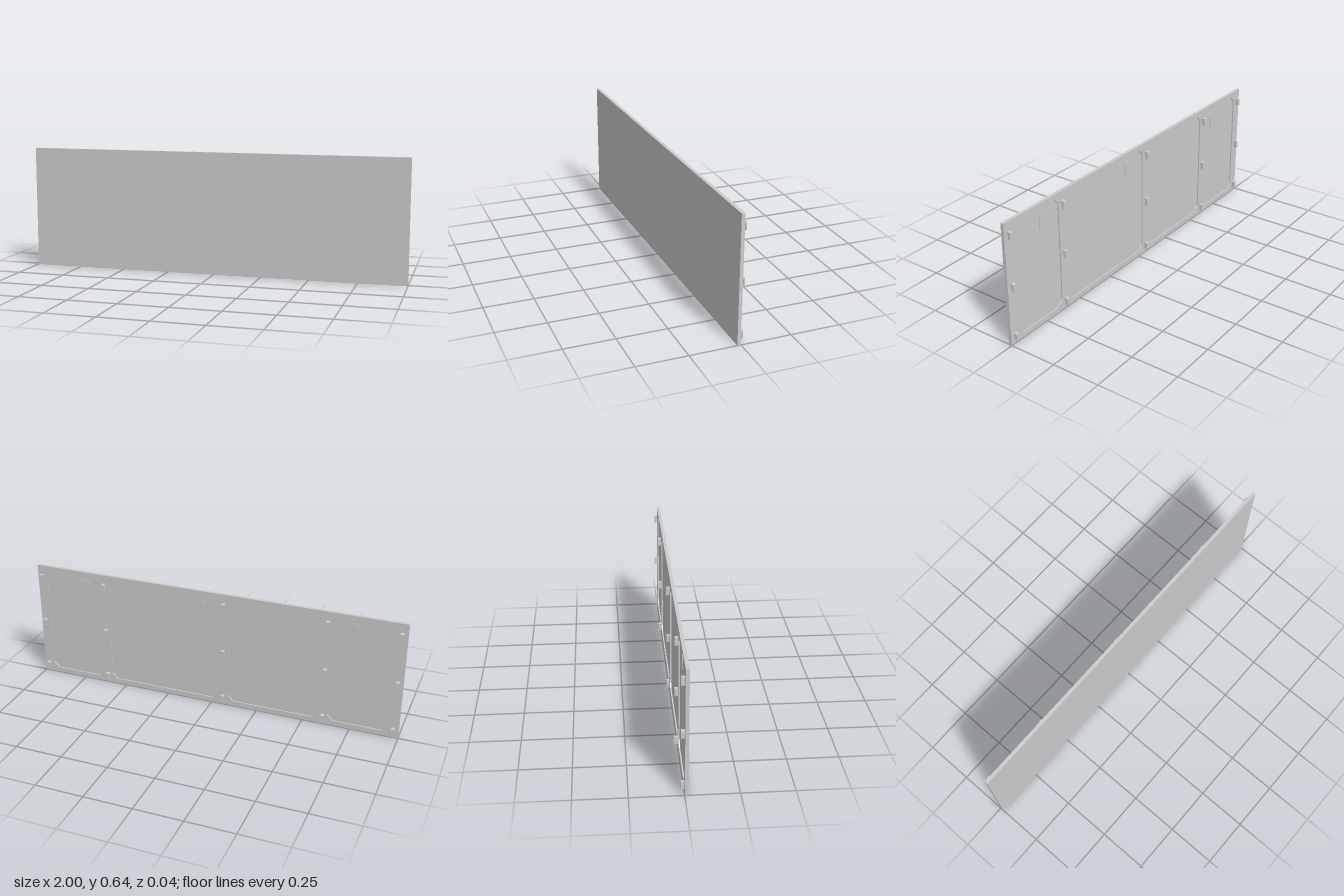
import * as THREE from 'three';

const material = new THREE.MeshStandardMaterial({ color: 0xcccccc });
const WIDTH = 2, HEIGHT = 0.638;
const FRONT = 0.0175, BACK = 0.0005, POCKET = 0.007, TIP = -0.0175;

// Rectangle outline with cut corners
function cutRect(target, x0, x1, y0, y1, c) {
  const pts = [
    [x0 + c, y0], [x1 - c, y0], [x1, y0 + c], [x1, y1 - c],
    [x1 - c, y1], [x0 + c, y1], [x0, y1 - c], [x0, y0 + c],
  ].map(([x, y]) => new THREE.Vector2(x, y));
  return target.setFromPoints(pts);
}

function addMesh(parent, name, geometry, x = 0, y = 0, z = 0) {
  const mesh = new THREE.Mesh(geometry, material);
  mesh.name = name;
  mesh.position.set(x, y, z);
  parent.add(mesh);
  return mesh;
}

function extrude(shape, depth) {
  return new THREE.ExtrudeGeometry(shape, { depth, bevelEnabled: false, curveSegments: 4 });
}

// Hook: arm out of the panel, rounded over into a lip hanging down, with a thin web behind it
function createHook() {
  const hook = new THREE.Group();
  const width = 0.018, top = 0.0205, reach = BACK - TIP, r = 0.004, t = 0.006;
  const profile = new THREE.Shape();
  profile.moveTo(0, top);
  profile.lineTo(0, top - 0.01);
  profile.lineTo(reach - t, top - 0.01);
  profile.lineTo(reach - t, -top);
  profile.lineTo(reach, -top);
  profile.lineTo(reach, top - r);
  profile.quadraticCurveTo(reach, top, reach - r, top);
  profile.closePath();
  const geometry = extrude(profile, width);
  geometry.translate(0, 0, -width / 2);
  geometry.rotateY(Math.PI / 2);
  addMesh(hook, 'hookLip', geometry);
  const webDepth = reach - t + 0.001;
  addMesh(hook, 'hookWeb', new THREE.BoxGeometry(0.008, 0.031, webDepth), 0, -0.005, -webDepth / 2);
  return hook;
}

export function createModel() {
  const model = new THREE.Group();
  model.name = 'panel';

  // Smooth front sheet
  const sheet = FRONT - BACK - POCKET;
  addMesh(model, 'frontSheet', new THREE.BoxGeometry(WIDTH, HEIGHT, sheet),
    0, HEIGHT / 2, FRONT - sheet / 2);

  // Back frame with four shallow pockets
  const frame = new THREE.Shape();
  cutRect(frame, -WIDTH / 2, WIDTH / 2, 0, HEIGHT, 0);
  const pockets = [[-0.945, -0.63], [-0.587, -0.09], [-0.038, 0.583], [0.63, 0.945]];
  for (const [x0, x1] of pockets) {
    frame.holes.push(cutRect(new THREE.Path(), x0, x1, 0.027, HEIGHT - 0.027, 0.03));
  }
  addMesh(model, 'backFrame', extrude(frame, POCKET), 0, 0, BACK);

  // Plain eight-sided pads in three of the pockets
  const pad = extrude(cutRect(new THREE.Shape(), -0.035, 0.035, -0.053, 0.053, 0.02), 0.003);
  for (const x of [-0.732, 0.066, 0.728]) {
    addMesh(model, 'pad', pad, x, 0.54, BACK + POCKET - 0.003);
  }

  // Five columns of three hooks
  for (const x of [-0.973, -0.609, -0.064, 0.607, 0.973]) {
    for (const y of [0.038, 0.304, 0.57]) {
      const hook = createHook();
      hook.name = 'hook';
      hook.position.set(x, y, BACK);
      model.add(hook);
    }
  }
  return model;
}
